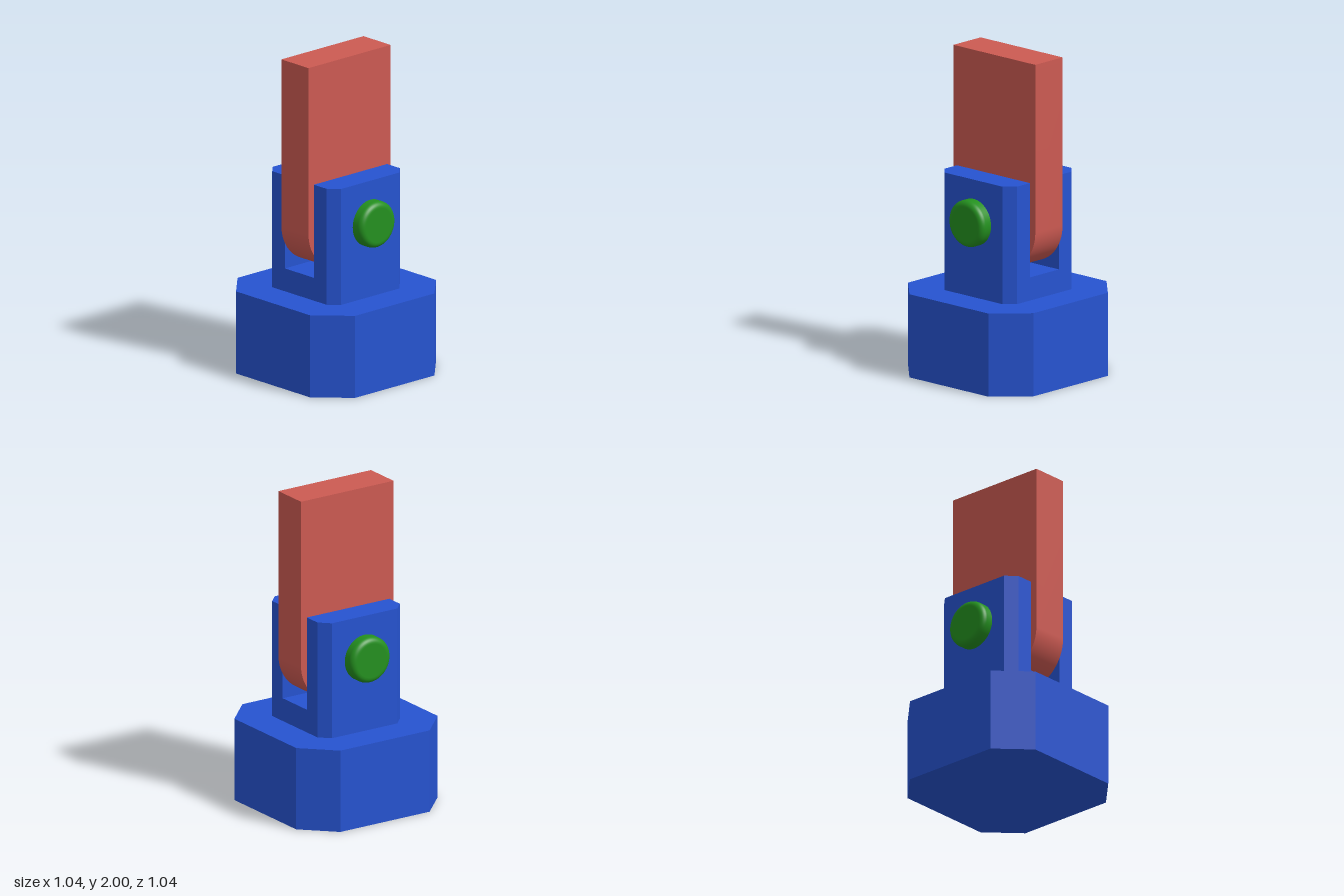
import * as THREE from 'three';
import { toCreasedNormals } from 'three/addons/utils/BufferGeometryUtils.js';

const blue = new THREE.MeshStandardMaterial({ color: 0x2653d0 });
const red = new THREE.MeshStandardMaterial({ color: 0xcc5a52 });
const green = new THREE.MeshStandardMaterial({ color: 0x24901f });

function part(name, geometry, material) {
  const mesh = new THREE.Mesh(geometry, material);
  mesh.name = name;
  return mesh;
}

// Upright prism from a plan outline of [x, z] corners
function prism(corners, y0, y1) {
  const shape = new THREE.Shape(corners.map(([x, z]) => new THREE.Vector2(x, -z)));
  const g = new THREE.ExtrudeGeometry(shape, { depth: y1 - y0, bevelEnabled: false });
  return g.rotateX(-Math.PI / 2).translate(0, y0, 0);
}

// Square outline with cut corners: h = half width, c = where the cut starts
const octagon = (h, c) => [[h, c], [c, h], [-c, h], [-h, c], [-h, -c], [-c, -h], [c, -h], [h, -c]];

export function createModel() {
  const model = new THREE.Group();
  model.name = 'clevisJoint';

  // Heavy base block
  model.add(part('base', prism(octagon(0.52, 0.328), 0, 0.52), blue));

  // Fork: solid foot with two prongs either side of the slot
  const fork = new THREE.Group();
  fork.name = 'fork';
  const h = 0.303, c = 0.24, slot = 0.128;
  fork.add(part('forkFoot', prism(octagon(h, c), 0.52, 0.665), blue));
  for (const s of [1, -1]) {
    const plan = [[slot, h], [c, h], [h, c], [h, -c], [c, -h], [slot, -h]].map(([x, z]) => [s * x, z]);
    fork.add(part(s > 0 ? 'leftProng' : 'rightProng', prism(plan, 0.665, 1.255), blue));
  }
  model.add(fork);

  // Flat lever with a rounded lower end
  const w = 0.34, y0 = 0.69, r = 0.26, t = 0.12;
  const side = new THREE.Shape();
  side.moveTo(-w, 2);
  side.lineTo(-w, y0 + r);
  side.absarc(-w + r, y0 + r, r, Math.PI, Math.PI * 1.5);
  side.absarc(w - r, y0 + r, r, Math.PI * 1.5, Math.PI * 2);
  side.lineTo(w, 2);
  side.closePath();
  const lever = new THREE.ExtrudeGeometry(side, { depth: 2 * t, bevelEnabled: false, curveSegments: 16 });
  lever.translate(0, 0, -t).rotateY(Math.PI / 2);
  model.add(part('lever', toCreasedNormals(lever, 0.5), red));

  // Pivot pin with softened ends
  const R = 0.145, L = 0.383, f = 0.036;
  const half = [];
  for (let i = 0; i <= 8; i++) {
    const a = (i / 8) * Math.PI / 2;
    half.push(new THREE.Vector2(R - f + f * Math.cos(a), L - f + f * Math.sin(a)));
  }
  half.push(new THREE.Vector2(R - f - 0.002, L), new THREE.Vector2(0, L));
  const mirrored = half.map(p => new THREE.Vector2(p.x, -p.y)).reverse();
  const pin = new THREE.LatheGeometry([...mirrored, ...half], 64);
  pin.rotateZ(Math.PI / 2).translate(0, 0.99, 0);
  model.add(part('pivotPin', pin, green));

  return model;
}
